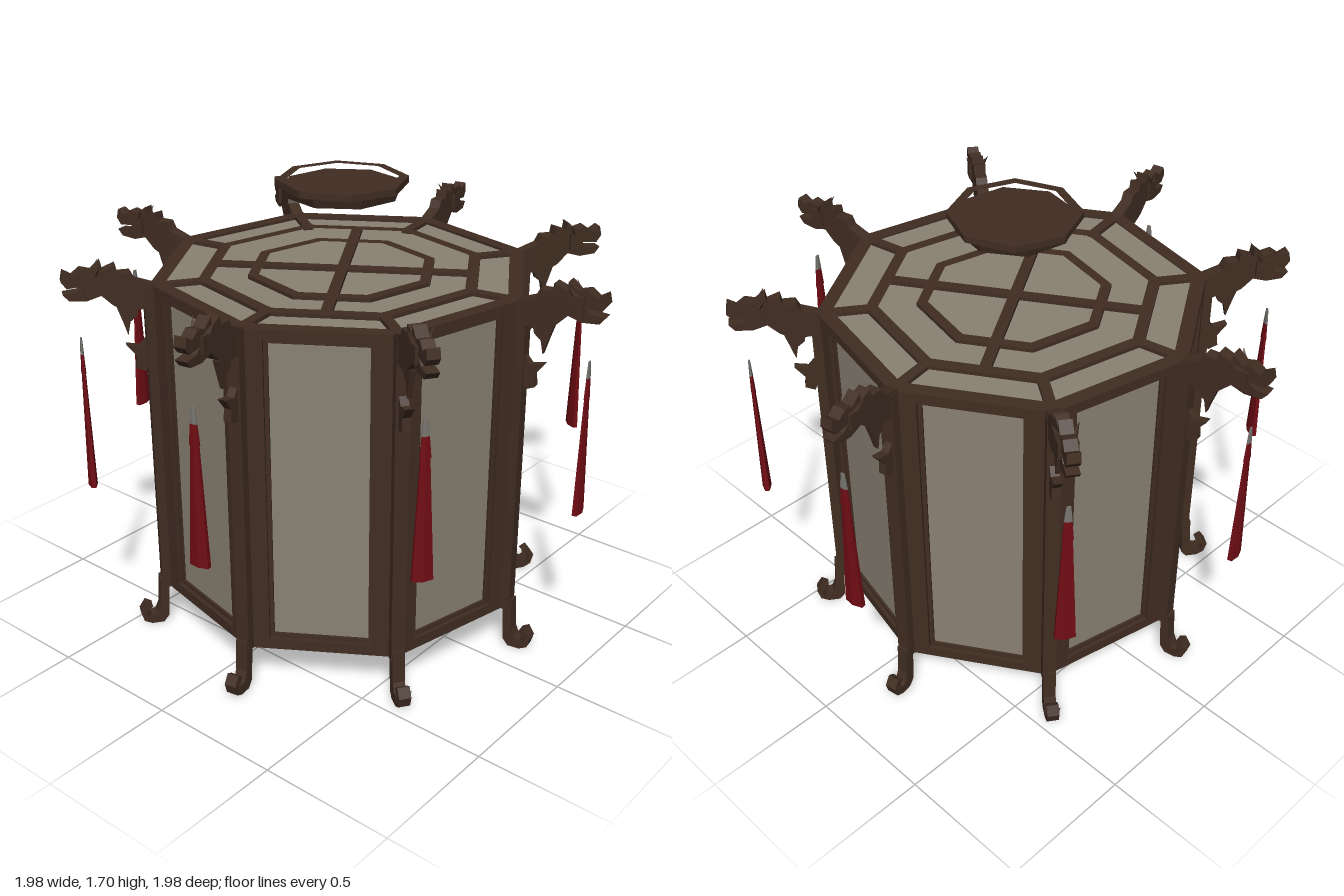
import * as THREE from 'three';

const mat = (name, color) => {
  const m = new THREE.MeshStandardMaterial({ color, flatShading: true });
  m.name = name;
  return m;
};
const wood = mat('dark wood', 0x402d22);
const paper = mat('paper pane', 0x8a8173);
const red = mat('tassel red', 0x700d14);
const silver = mat('cap grey', 0x77746f);

const RAD = Math.PI / 180;
const R = 0.7; // corner radius of the body
const APO = R * Math.cos(22.5 * RAD);
const BOTTOM = 0.16, TOP = 1.38;

function add(parent, name, geo, material, x = 0, y = 0, z = 0) {
  const m = new THREE.Mesh(geo, material);
  m.name = name;
  m.position.set(x, y, z);
  parent.add(m);
  return m;
}

// group whose +z points outward at the given angle
function spoke(parent, name, deg) {
  const g = new THREE.Group();
  g.name = name;
  g.rotation.y = deg * RAD;
  parent.add(g);
  return g;
}

const octagon = (r, turn = 10) => Array.from({ length: 8 }, (_, i) => {
  const a = (turn + i * 45) * RAD;
  return new THREE.Vector2(r * Math.sin(a), r * Math.cos(a));
});

// flat octagonal ring or plate, its top face at y = 0
function octagonPlate(outer, inner, height, turn) {
  const s = new THREE.Shape(octagon(outer, turn));
  if (inner) s.holes.push(new THREE.Path(octagon(inner, turn)));
  return new THREE.ExtrudeGeometry(s, { depth: height, bevelEnabled: false }).rotateX(Math.PI / 2);
}

// side silhouette of [radius, y] points, given a thickness
function silhouette(points, thick) {
  const s = new THREE.Shape(points.map(p => new THREE.Vector2(...p)));
  return new THREE.ExtrudeGeometry(s, { depth: thick, bevelEnabled: false })
    .translate(0, 0, -thick / 2).rotateY(-Math.PI / 2);
}

const rect = (w, y0, y1) => [[-w, y0], [w, y0], [w, y1], [-w, y1]].map(p => new THREE.Vector2(p[0] / 2, p[1]));
function frame(w, y0, y1, iw, iy0, iy1, depth) {
  const s = new THREE.Shape(rect(w, y0, y1));
  s.holes.push(new THREE.Path(rect(iw, iy0, iy1)));
  return new THREE.ExtrudeGeometry(s, { depth, bevelEnabled: false });
}

// lattice of rings and bars with a pane, used for roof and floor
function lattice(parent, name, top, paneTop) {
  const g = new THREE.Group();
  g.name = name;
  parent.add(g);
  const h = 0.03;
  add(g, 'outerRing', octagonPlate(R, 0.645, h), wood, 0, top);
  add(g, 'middleRing', octagonPlate(0.53, 0.485, h), wood, 0, top);
  add(g, 'innerRing', octagonPlate(0.35, 0.31, h), wood, 0, top);
  add(g, 'pane', octagonPlate(0.66, 0, 0.008), paper, 0, paneTop);
  for (let i = 0; i < 8; i++) {
    add(spoke(g, 'cornerBar', 10 + i * 45), 'bar', new THREE.BoxGeometry(0.038, h, 0.18), wood, 0, top - h / 2, 0.59);
  }
  for (let i = 0; i < 4; i++) {
    add(spoke(g, 'crossBar', 32.5 + i * 90), 'bar', new THREE.BoxGeometry(0.04, h, 0.47), wood, 0, top - h / 2, 0.235);
  }
}

const HEAD = [
  [0.68, 1.3], [0.78, 1.295], [0.83, 1.32], [0.87, 1.36], [0.92, 1.345], [0.98, 1.35], [1.0, 1.375],
  [0.95, 1.38], [0.925, 1.4], [0.985, 1.395], [1.003, 1.42], [0.995, 1.455], [0.965, 1.437],
  [0.935, 1.46], [0.9, 1.45], [0.865, 1.48], [0.86, 1.448], [0.815, 1.465], [0.81, 1.435],
  [0.765, 1.435], [0.75, 1.405], [0.68, 1.38],
];
const SCROLL = [[0.74, 1.31], [0.82, 1.31], [0.8, 1.25], [0.785, 1.2], [0.775, 1.25], [0.75, 1.27]];
const LEAF = [[0.715, 1.1], [0.73, 1.06], [0.765, 1.075], [0.76, 1.12], [0.795, 1.165], [0.745, 1.155], [0.715, 1.19]];
const LEG = [
  [0.695, 0.2], [0.7, 0.1], [0.705, 0.03], [0.725, 0.005], [0.77, 0.005], [0.8, 0.02], [0.812, 0.06],
  [0.79, 0.095], [0.765, 0.08], [0.785, 0.055], [0.77, 0.042], [0.75, 0.048], [0.737, 0.08], [0.73, 0.2],
];

// everything that sits on one corner of the body
function corner(parent, deg) {
  const g = spoke(parent, 'corner', deg);
  add(g, 'cornerPost', new THREE.BoxGeometry(0.05, TOP - BOTTOM, 0.045), wood, 0, (TOP + BOTTOM) / 2, 0.7);
  add(g, 'leg', silhouette(LEG, 0.045), wood);
  add(g, 'dragonHead', silhouette(HEAD, 0.045), wood);
  add(g, 'scroll', silhouette(SCROLL, 0.02), wood);
  add(g, 'leaf', silhouette(LEAF, 0.03), wood);
  add(g, 'cheeks', new THREE.BoxGeometry(0.066, 0.06, 0.05), wood, 0, 1.405, 0.9);
  for (const s of [-1, 1]) {
    const ear = add(g, 'ear', new THREE.ConeGeometry(0.015, 0.07, 4), wood, s * 0.03, 1.445, 0.885);
    ear.rotation.set(-0.5, 0, -s * 0.4);
    const fin = add(g, 'footFin', new THREE.ConeGeometry(0.015, 0.05, 4), wood, s * 0.02, 0.05, 0.785);
    fin.rotation.z = -s * 0.5;
  }
  // flattened tassel: wide across the arm, thin along it
  const tassel = new THREE.Group();
  tassel.name = 'tassel';
  tassel.position.z = 0.95;
  tassel.scale.z = 0.4;
  g.add(tassel);
  add(tassel, 'tasselSkirt', new THREE.CylinderGeometry(0.018, 0.042, 0.45, 6), red, 0, 0.855);
  add(tassel, 'tasselNeck', new THREE.CylinderGeometry(0.014, 0.022, 0.08, 6), red, 0, 1.11);
  add(tassel, 'tasselCap', new THREE.CylinderGeometry(0.009, 0.016, 0.06, 6), silver, 0, 1.175);
}

// one side wall: frame, recessed rim and pane
function wall(parent, deg) {
  const g = spoke(parent, 'wall', deg);
  add(g, 'wallFrame', frame(0.53, BOTTOM, TOP, 0.365, 0.2, 1.345, 0.04), wood, 0, 0, APO - 0.04);
  add(g, 'wallRim', frame(0.38, 0.19, 1.355, 0.335, 0.217, 1.328, 0.02), wood, 0, 0, APO - 0.034);
  add(g, 'wallPane', new THREE.BoxGeometry(0.36, 1.13, 0.008), paper, 0, 0.772, APO - 0.027);
}

export function createModel() {
  const lantern = new THREE.Group();
  lantern.name = 'lantern';

  for (let i = 0; i < 8; i++) {
    corner(lantern, 10 + i * 45);
    wall(lantern, 32.5 + i * 45);
  }
  lattice(lantern, 'roof', TOP, TOP - 0.014);
  lattice(lantern, 'floor', BOTTOM + 0.03, BOTTOM + 0.022);

  // ceiling rose floating above the roof
  const rose = new THREE.Group();
  rose.name = 'ceilingRose';
  lantern.add(rose);
  add(rose, 'rosePlate', new THREE.CylinderGeometry(0.218, 0.205, 0.035, 8), wood, 0, 1.668).rotation.y = 0.2;
  add(rose, 'roseRing', octagonPlate(0.235, 0.2, 0.024, 0), wood, 0, 1.709);
  return lantern;
}
